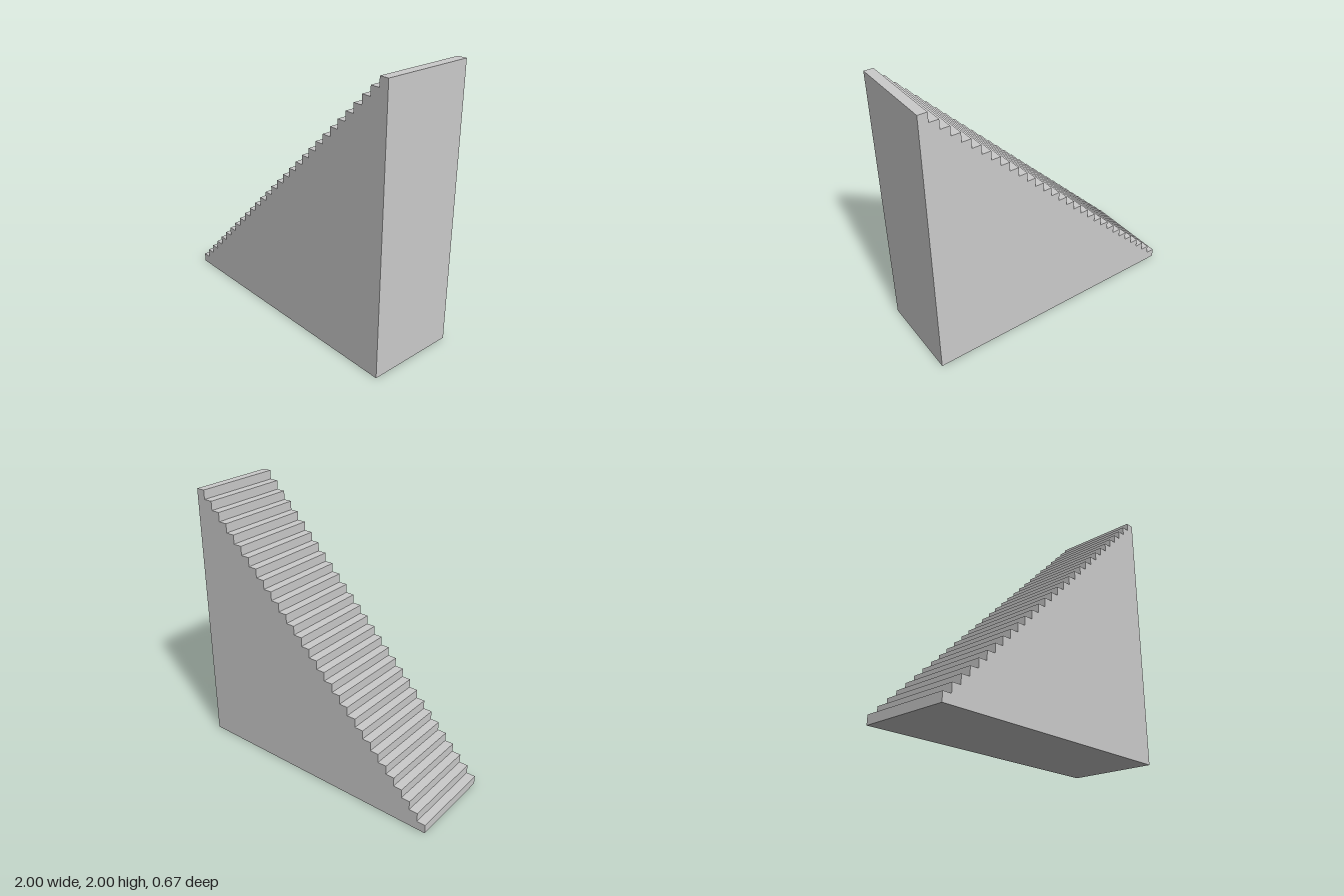
import * as THREE from 'three';

const STEPS = 30;
const SIZE = 2;        // overall run and rise
const WIDTH = 2 / 3;   // stair width along z

export function createModel() {
  const group = new THREE.Group();
  group.name = 'staircase';

  // Stepped side profile, climbing towards +x
  const step = SIZE / STEPS;
  const profile = new THREE.Shape();
  profile.moveTo(SIZE / 2, 0);
  profile.lineTo(SIZE / 2, SIZE);
  for (let i = STEPS - 1; i >= 0; i--) {
    const x = -SIZE / 2 + i * step;
    profile.lineTo(x, (i + 1) * step); // tread
    profile.lineTo(x, i * step);       // riser
  }

  // Solid flight, centred on z
  const geometry = new THREE.ExtrudeGeometry(profile, { depth: WIDTH, bevelEnabled: false });
  geometry.translate(0, 0, -WIDTH / 2);
  const material = new THREE.MeshStandardMaterial({ color: 0xcccccc, flatShading: true });
  const stairs = new THREE.Mesh(geometry, material);
  stairs.name = 'solidStairFlight';
  group.add(stairs);

  return group;
}
